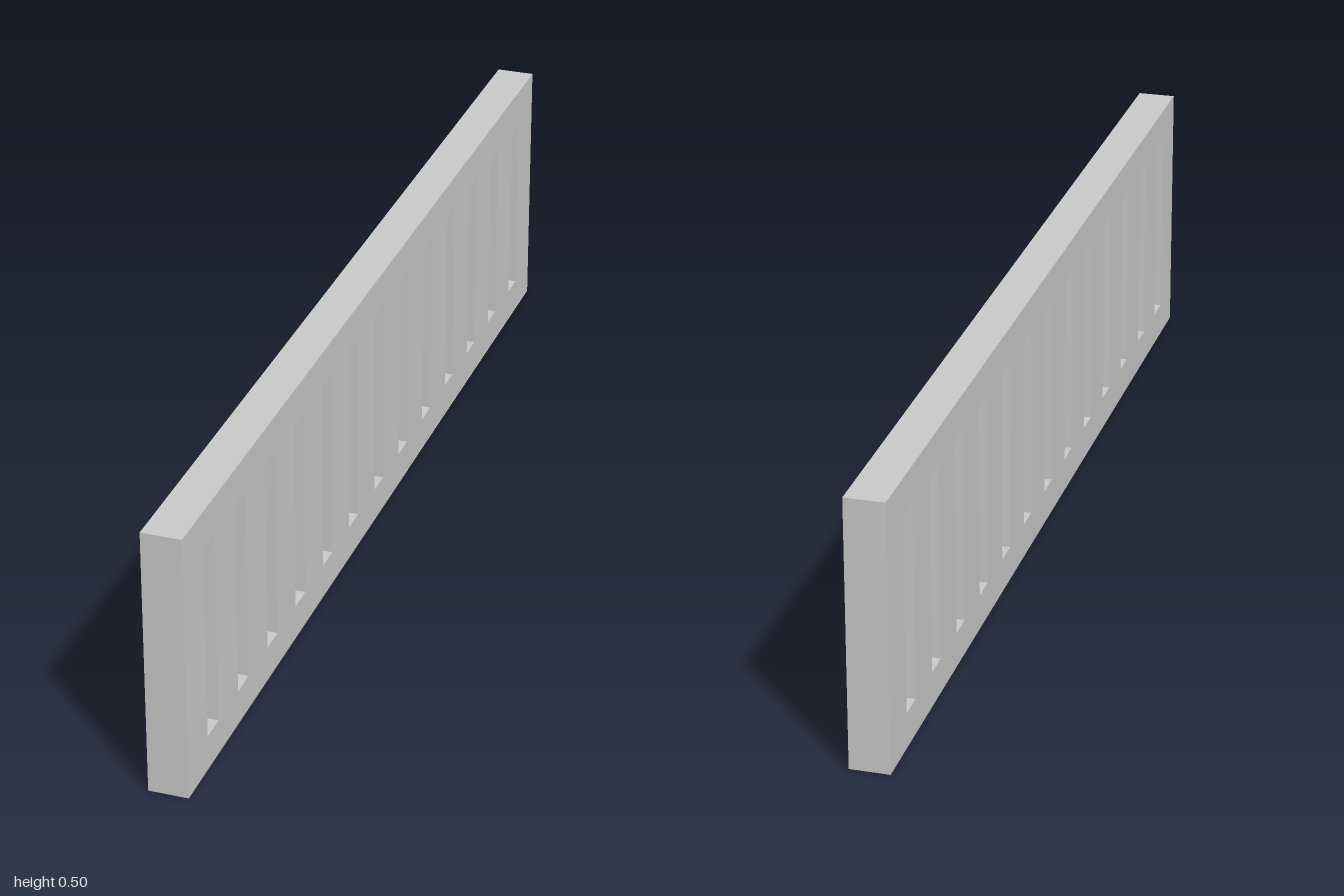
import * as THREE from 'three';

const LENGTH = 2, HEIGHT = 0.501, THICKNESS = 0.073;
const SLOTS = 13, PITCH = 0.147, SLOT_WIDTH = 0.052, SLOT_BOTTOM = 0.066, SLOT_TOP = 0.435;

// Traces a rectangle centred on u, from y0 up to y1
function traceRect(path, u, width, y0, y1) {
  const h = width / 2;
  path.moveTo(u - h, y0);
  path.lineTo(u + h, y0);
  path.lineTo(u + h, y1);
  path.lineTo(u - h, y1);
  path.closePath();
  return path;
}

export function createModel() {
  const group = new THREE.Group();
  group.name = 'slottedPanel';

  // Panel outline with a row of upright slots cut through
  const outline = traceRect(new THREE.Shape(), 0, LENGTH, 0, HEIGHT);
  for (let i = 0; i < SLOTS; i++) {
    const u = (i - (SLOTS - 1) / 2) * PITCH;
    outline.holes.push(traceRect(new THREE.Path(), u, SLOT_WIDTH, SLOT_BOTTOM, SLOT_TOP));
  }

  // Extrude through the thickness, then turn the length along z
  const geometry = new THREE.ExtrudeGeometry(outline, { depth: THICKNESS, bevelEnabled: false });
  geometry.translate(0, 0, -THICKNESS / 2);
  geometry.rotateY(Math.PI / 2);

  const panel = new THREE.Mesh(geometry, new THREE.MeshStandardMaterial({ color: 0xcccccc }));
  panel.name = 'panel';
  group.add(panel);
  return group;
}
